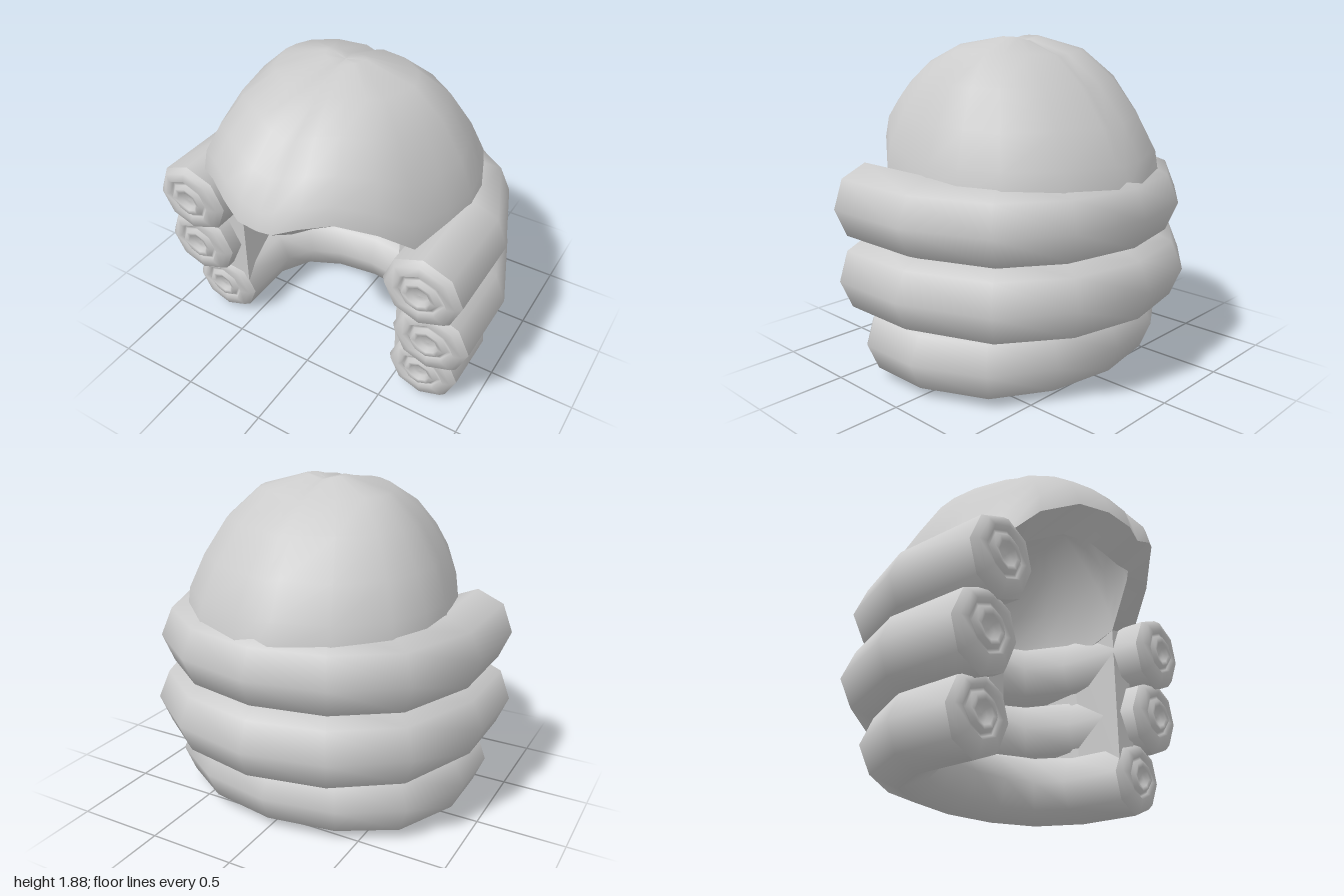
import * as THREE from 'three';

const V = (x, y, z) => new THREE.Vector3(x, y, z);
const material = new THREE.MeshStandardMaterial({ color: 0xcccccc });

// Smooth skin over rows of points; each row is a closed ring
function skin(name, rows) {
  const n = rows[0].length, index = [];
  for (let r = 0; r < rows.length - 1; r++) {
    for (let c = 0; c < n; c++) {
      const a = r * n + c, b = r * n + (c + 1) % n;
      index.push(a, a + n, b, b, a + n, b + n);
    }
  }
  const geometry = new THREE.BufferGeometry().setFromPoints(rows.flat());
  geometry.setIndex(index);
  geometry.computeVertexNormals();
  const mesh = new THREE.Mesh(geometry, material);
  mesh.name = name;
  return mesh;
}

// One horseshoe curl: octagonal tube round the back, coiled ends at the front
function makeCurl({ name, y, w, front, back, r }) {
  const group = new THREE.Group();
  group.name = name;
  const bend = -0.02, lean = 0.07, angles = [0, 36, 63, 90, 117, 144, 180];
  const path = angles.map((deg) => {
    const a = THREE.MathUtils.degToRad(deg);
    return { p: V(w * Math.cos(a), y, bend + (back - bend) * Math.sin(a)), n: V(Math.cos(a), 0, -Math.sin(a)), lean: 0 };
  });
  path.unshift({ p: V(w, y, front), n: V(1, 0, 0), lean });
  path.push({ p: V(-w, y, front), n: V(-1, 0, 0), lean });
  const rows = path.map((k) => Array.from({ length: 8 }, (_, i) => {
    const f = i * Math.PI / 4, dy = r * Math.sin(f);
    return k.p.clone().addScaledVector(k.n, r * Math.cos(f)).add(V(0, dy, k.lean * dy));
  }));
  group.add(skin('curlTube', rows));

  // Coiled end: rounded bevel, then stepped rings whose radius winds inward
  const profile = [[1, 0], [0.88, 0.035], [0.66, 0.05], [0.58, 0.03], [0.5, 0.032], [0.42, 0.055], [0.3, 0.05], [0.22, 0.025], [0, 0.03]];
  for (const side of [1, -1]) {
    const rings = profile.map(([s, dz], k) => Array.from({ length: 8 }, (_, i) => {
      const f = i * Math.PI / 4;
      const q = r * s * (k > 1 ? 1.08 - 0.03 * i : 1), dy = q * Math.sin(f);
      return V(side * (w + q * Math.cos(f)), y + dy, front + dz + lean * dy);
    }));
    group.add(skin('coiledEnd', side > 0 ? rings.reverse() : rings));
  }
  return group;
}

// Half outline from front centre to back centre, mirrored into a full ring
function mirrorRing(half) {
  const right = half.map((p) => V(...p));
  const left = right.slice(1, -1).reverse().map((p) => V(-p.x, p.y, p.z));
  return [...right, ...left];
}

// Dome rows from the crown down to a rim: [spread, rise] per row, flatter at
// the back and fuller at the sides, with a shallow centre parting
const domeProfile = [[0, 1], [0.1, 1], [0.43, 0.9], [0.67, 0.7], [0.85, 0.44], [0.97, 0.2], [1, 0]];
function domeRows(rim, top) {
  return domeProfile.map(([c, rise]) => rim.map((p) => {
    const x = p.x * Math.pow(c, 0.8);
    const z = 0.04 + (p.z - 0.04) * Math.pow(c, p.z < 0 ? 1.15 : 1);
    const dip = rise > 0 ? 0.025 * Math.max(0, 1 - Math.abs(x) / 0.09) : 0;
    return V(x, p.y + (top - p.y) * rise - dip, z);
  }));
}

export function createModel() {
  const model = new THREE.Group();
  model.name = 'curledWig';

  // Stacked curls
  const curls = [
    { name: 'topCurl', y: 0.97, w: 0.74, front: 0.52, back: -0.615, r: 0.225 },
    { name: 'middleCurl', y: 0.585, w: 0.775, front: 0.45, back: -0.655, r: 0.225 },
    { name: 'bottomCurl', y: 0.213, w: 0.7, front: 0.35, back: -0.475, r: 0.213 },
  ];
  curls.forEach((c) => model.add(makeCurl(c)));

  // Crown with a wavy front hairline
  const rim = mirrorRing([
    [0, 1.29, 0.865], [0.1, 1.32, 0.88], [0.22, 1.37, 0.83], [0.36, 1.39, 0.74], [0.53, 1.31, 0.61],
    [0.65, 1.16, 0.45], [0.72, 1.1, 0.2], [0.76, 1.1, 0], [0.73, 1.1, -0.2], [0.64, 1.1, -0.43],
    [0.4, 1.1, -0.64], [0.1, 1.1, -0.745], [0, 1.1, -0.725],
  ]);
  const innerRim = mirrorRing([
    [0, 1.19, 0.73], [0.1, 1.21, 0.72], [0.2, 1.26, 0.68], [0.32, 1.28, 0.6], [0.46, 1.22, 0.46],
    [0.52, 1.1, 0.36], [0.56, 1.05, 0.15], [0.6, 1.05, 0], [0.58, 1.05, -0.17], [0.5, 1.05, -0.37],
    [0.32, 1.05, -0.53], [0.08, 1.05, -0.6], [0, 1.05, -0.59],
  ]);
  model.add(skin('crown', domeRows(rim, 1.875)));
  model.add(skin('hairline', [rim, innerRim]));
  model.add(skin('crownLining', domeRows(innerRim, 1.76).reverse()));

  // Side panels closing the gaps between the curls, curving back with the head
  const plan = [[0.52, 0.36], [0.65, 0.38], [0.7, 0.1], [0.68, -0.2], [0.6, -0.2], [0.61, 0.02]];
  for (const side of [1, -1]) {
    const shape = new THREE.Shape(plan.map(([x, z]) => new THREE.Vector2(side * x, -z)));
    const geometry = new THREE.ExtrudeGeometry(shape, { depth: 0.93, bevelEnabled: false });
    const panel = new THREE.Mesh(geometry.rotateX(-Math.PI / 2), material);
    panel.name = side > 0 ? 'leftSidePanel' : 'rightSidePanel';
    panel.position.y = 0.22;
    model.add(panel);
  }
  return model;
}
